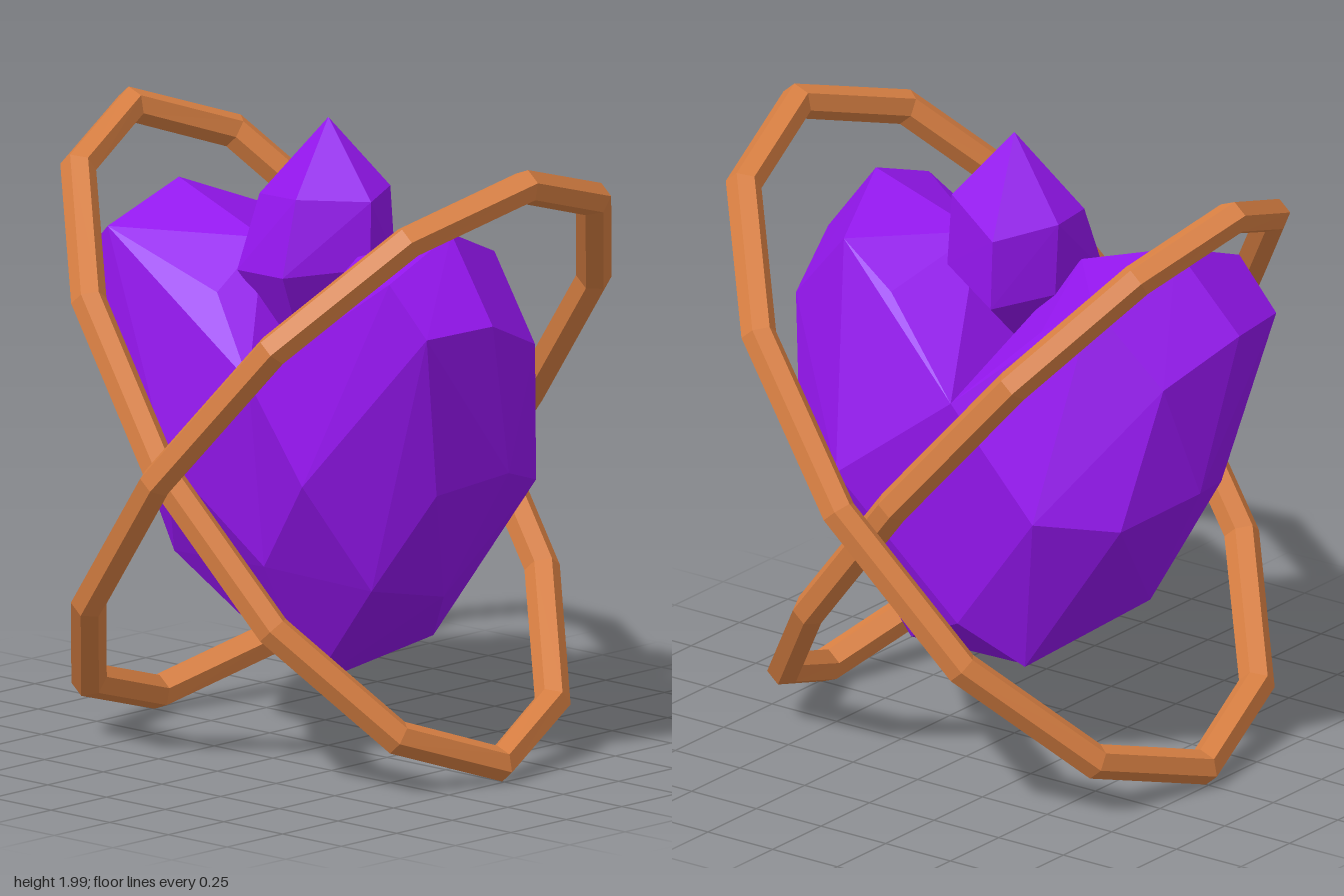
import * as THREE from 'three';
import { ConvexGeometry } from 'three/addons/geometries/ConvexGeometry.js';

const purple = new THREE.MeshStandardMaterial({ color: 0x9416ee, flatShading: true });
const copper = new THREE.MeshStandardMaterial({ color: 0xd98043, flatShading: true });

// Faceted gem from its corner points; side = -1 mirrors it in x
function gem(name, points, side = 1) {
  const corners = points.map(([x, y, z]) => new THREE.Vector3(x * side, y, z));
  const mesh = new THREE.Mesh(new ConvexGeometry(corners), purple);
  mesh.name = name;
  return mesh;
}

// Tilted oval hoop: 12 segments with a hexagonal section, flat side outward
function hoop(name, side, depth) {
  const SEG = 12, SIDES = 6, r = 0.055, half = 1.212;
  const centre = new THREE.Vector3(side * 0.055, 0.985, 0);
  const u = new THREE.Vector3(side * 0.785, 0.924, 0).normalize();
  const z = new THREE.Vector3(0, 0, 1);
  const n = u.clone().cross(z);
  const positions = [], index = [];
  for (let i = 0; i < SEG; i++) {
    const t = (i / SEG) * Math.PI * 2, c = Math.cos(t), s = Math.sin(t);
    const out = u.clone().multiplyScalar(c / half).addScaledVector(z, s / depth).normalize();
    for (let k = 0; k < SIDES; k++) {
      const a = ((k + 0.5) / SIDES) * Math.PI * 2;
      const p = centre.clone().addScaledVector(u, half * c).addScaledVector(z, depth * s)
        .addScaledVector(out, r * 1.035 * Math.cos(a)).addScaledVector(n, r * Math.sin(a));
      positions.push(p.x, p.y, p.z);
      const i2 = (i + 1) % SEG, k2 = (k + 1) % SIDES;
      const A = i * SIDES + k, B = i2 * SIDES + k, C = i2 * SIDES + k2, D = i * SIDES + k2;
      index.push(A, B, C, A, C, D);
    }
  }
  const geometry = new THREE.BufferGeometry();
  geometry.setAttribute('position', new THREE.Float32BufferAttribute(positions, 3));
  geometry.setIndex(index);
  geometry.computeVertexNormals();
  const mesh = new THREE.Mesh(geometry, copper);
  mesh.name = name;
  return mesh;
}

export function createModel() {
  const group = new THREE.Group();
  group.name = 'crystalHeart';

  // Half of the heart, from the top of the lobe down to the point
  const lobe = [
    [0.58, 1.73, 0.06], [0.2, 1.6, 0.08], [0, 1.24, 0.06],                          // ridge
    [0.6, 1.62, 0.36], [0.2, 1.46, 0.29], [0, 1.22, 0.36],                          // front shoulder
    [0.48, 1.61, -0.24], [0.29, 1.48, -0.25], [0, 1.2, -0.33],                      // back shoulder
    [0.75, 1.465, 0.35], [0.795, 1.475, 0.1], [0.71, 1.36, -0.18],                  // outer shoulder
    [0.29, 0.94, 0.425], [0.65, 0.93, 0.2], [0.74, 0.98, -0.03],                    // belly
    [0.62, 0.9, -0.28], [0.38, 0.91, -0.415],
    [0, 0.62, 0.29], [0.42, 0.6, 0.25], [0.51, 0.56, 0.02],                         // lower body
    [0.22, 0.35, -0.24], [0, 0.46, -0.295],
    [0, 0.21, 0.07],                                                                // point
  ];
  group.add(gem('leftHeartHalf', lobe, 1), gem('rightHeartHalf', lobe, -1));

  // Small crystal standing in the notch
  group.add(gem('centreCrystal', [
    [0, 2, 0],
    [0.06, 1.78, 0.21], [0.22, 1.77, 0.04], [0.16, 1.79, -0.11],
    [-0.08, 1.72, -0.22], [-0.2, 1.75, -0.04], [-0.18, 1.75, 0.12],
    [0.06, 1.54, 0.27], [0.225, 1.56, 0.05], [0.17, 1.56, -0.12],
    [-0.08, 1.5, -0.23], [-0.195, 1.52, -0.05], [-0.19, 1.52, 0.21],
    [0, 1.23, 0.1],
  ]));

  // Crossed hoops, the narrower one passing inside the wider one
  group.add(hoop('wideHoop', 1, 0.835), hoop('narrowHoop', -1, 0.7));
  return group;
}
